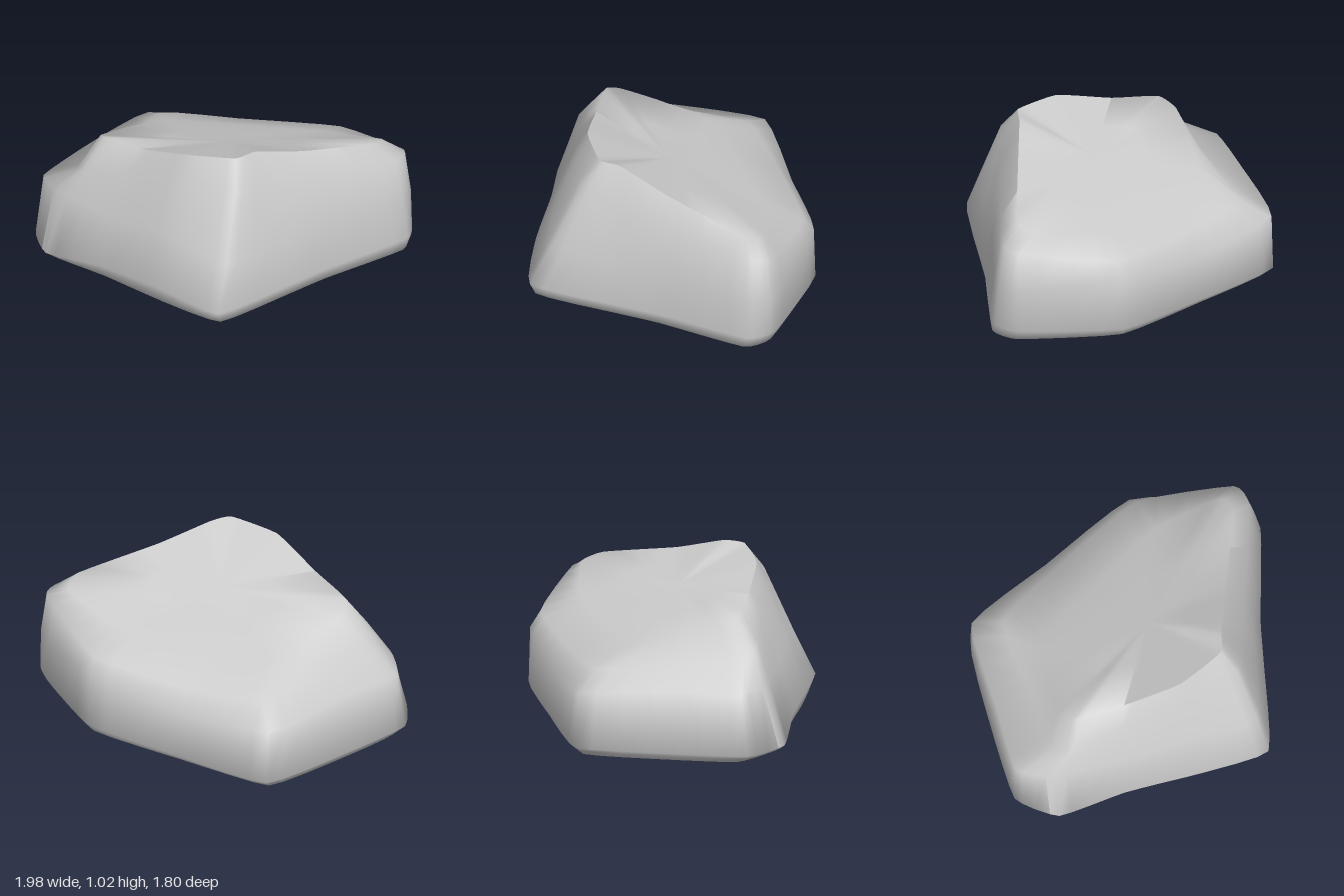
import * as THREE from 'three';
import { toCreasedNormals } from 'three/addons/utils/BufferGeometryUtils.js';

// Outline of the boulder, counter-clockwise from the front left corner.
// Each column: foot x,z | lower wall x,y,z | upper wall x,y,z | rim x,y,z
const COLUMNS = [
  [-0.97, 0.7, -0.95, 0.44, 0.65, -0.71, 0.57, 0.6, -0.62, 0.79, 0.48], // front left
  [-0.73, 0.89, -0.73, 0.47, 0.77, -0.59, 0.65, 0.69, -0.53, 0.85, 0.56],
  [-0.3, 0.87, -0.28, 0.45, 0.77, -0.25, 0.75, 0.66, -0.22, 0.89, 0.57],
  [0.2, 0.88, 0.18, 0.5, 0.76, 0.16, 0.85, 0.63, 0.15, 0.99, 0.56],
  [0.65, 0.84, 0.61, 0.42, 0.71, 0.53, 0.86, 0.53, 0.45, 1.02, 0.43], // front right
  [0.77, 0.29, 0.71, 0.42, 0.29, 0.62, 0.8, 0.29, 0.49, 1.02, 0.29], // right side ridge
  [0.83, -0.02, 0.79, 0.42, -0.03, 0.73, 0.75, -0.03, 0.61, 0.92, -0.03],
  [0.99, -0.61, 0.96, 0.4, -0.6, 0.91, 0.7, -0.59, 0.79, 0.81, -0.53], // back right
  [0.87, -0.77, 0.87, 0.42, -0.77, 0.85, 0.69, -0.74, 0.73, 0.76, -0.66],
  [0.21, -0.91, 0.21, 0.47, -0.9, 0.24, 0.57, -0.84, 0.3, 0.67, -0.6], // back point
  [-0.4, -0.67, -0.4, 0.38, -0.65, -0.36, 0.52, -0.56, -0.25, 0.65, -0.3],
  [-0.96, -0.41, -0.96, 0.41, -0.38, -0.78, 0.52, -0.3, -0.58, 0.645, -0.08], // back left
  [-0.99, 0.2, -0.96, 0.45, 0.2, -0.73, 0.56, 0.22, -0.62, 0.73, 0.24], // left ledge
];
const TOP = new THREE.Vector3(0.08, 0.82, 0.05);
const STEPS = 4;

// Rounds one ring of corner points into a closed loop
function smoothLoop(points) {
  const curve = new THREE.CatmullRomCurve3(points, true, 'catmullrom', 0.2);
  const count = points.length * STEPS;
  return Array.from({ length: count }, (_, i) => curve.getPoint(i / count));
}

// The widest line climbs to the right and arches along the front
const footHeight = (x, z) =>
  0.1 + 0.05 * x + (z > 0.8 ? 0.08 * Math.max(0, 1 - Math.abs(x) / 0.7) : 0);

function rockGeometry() {
  const ring = (pick) => smoothLoop(COLUMNS.map((c) => new THREE.Vector3(...pick(c))));
  const rim = ring((c) => c.slice(8));
  const rings = [
    ring((c) => [c[0] * (0.92 - 0.05 * c[0]), 0.012 + 0.01 * c[0], c[1] * 0.89]), // flat underside
    ring((c) => [c[0] * 0.985, 0.05 + 0.02 * c[0], c[1] * 0.96]),
    ring((c) => [c[0], footHeight(c[0], c[1]), c[1]]), // widest line
    ring((c) => c.slice(2, 5)),
    ring((c) => c.slice(5, 8)),
    rim,
    rim.map((p) => p.clone().lerp(TOP, 0.5)), // sloping top
  ];
  const n = rim.length;
  const positions = [];
  const tri = (...pts) => pts.forEach((p) => positions.push(p.x, p.y, p.z));
  const floor = new THREE.Vector3(0, 0.012, 0);

  for (let j = 0; j < n; j++) {
    const k = (j + 1) % n;
    for (let i = 0; i < rings.length - 1; i++) {
      const lo = rings[i];
      const hi = rings[i + 1];
      tri(lo[j], lo[k], hi[k]);
      tri(lo[j], hi[k], hi[j]);
    }
    tri(rings[rings.length - 1][j], rings[rings.length - 1][k], TOP);
    tri(rings[0][k], rings[0][j], floor);
  }
  const geometry = new THREE.BufferGeometry();
  geometry.setAttribute('position', new THREE.Float32BufferAttribute(positions, 3));
  return toCreasedNormals(geometry, 1.2);
}

export function createModel() {
  const group = new THREE.Group();
  group.name = 'rock';
  const boulder = new THREE.Mesh(rockGeometry(), new THREE.MeshStandardMaterial({ color: 0xcccccc }));
  boulder.name = 'boulder';
  group.add(boulder);
  return group;
}
